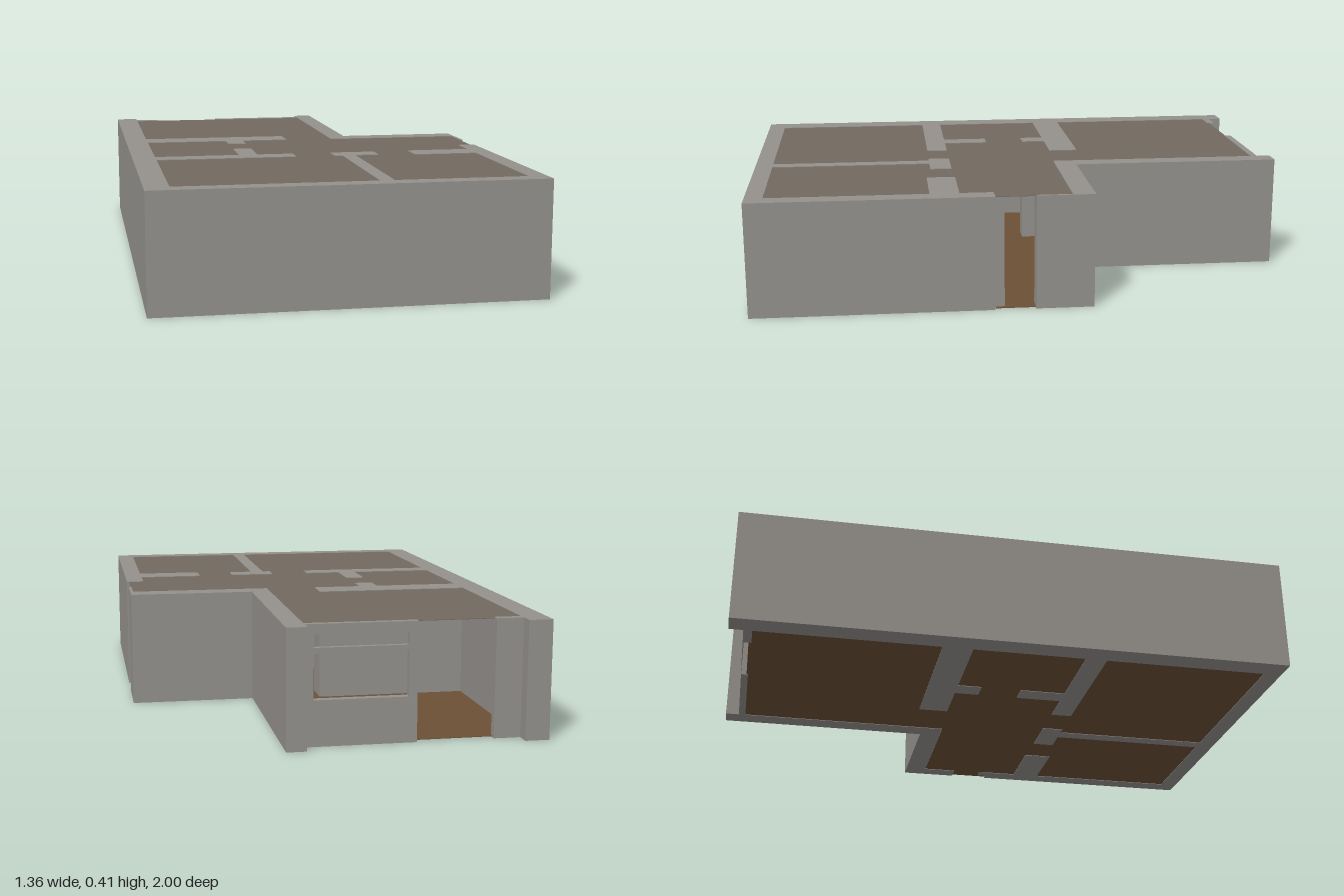
import * as THREE from 'three';

export function createModel() {
  const group = new THREE.Group();
  const H = 0.415;
  const material = (name, color) => {
    const m = new THREE.MeshStandardMaterial({ color });
    m.name = name;
    return m;
  };
  const plaster = material('plaster grey', 0x94918c);
  const ceilingTone = material('ceiling taupe', 0x72685f);
  const wood = material('floor brown', 0x6b5034);

  // Upright block given by its footprint and height range
  function block(name, x0, x1, z0, z1, y0 = 0, y1 = H) {
    const mesh = new THREE.Mesh(new THREE.BoxGeometry(x1 - x0, y1 - y0, z1 - z0), plaster);
    mesh.position.set((x0 + x1) / 2, (y0 + y1) / 2, (z0 + z1) / 2);
    mesh.name = name;
    group.add(mesh);
  }

  // Thin slab following the L-shaped plan
  function slab(name, mat, y, thickness) {
    const plan = [
      [-0.61, -0.93], [0.16, -0.93], [0.16, -0.138], [0.67, -0.138],
      [0.67, 0.132], [0.63, 0.132], [0.63, 0.95], [-0.61, 0.95],
    ];
    const shape = new THREE.Shape(plan.map(([x, z]) => new THREE.Vector2(x, -z)));
    const geo = new THREE.ExtrudeGeometry(shape, { depth: thickness, bevelEnabled: false });
    geo.rotateX(-Math.PI / 2);
    const mesh = new THREE.Mesh(geo, mat);
    mesh.position.y = y;
    mesh.name = name;
    group.add(mesh);
  }
  slab('floor', wood, 0.002, 0.002);
  slab('ceiling', ceilingTone, H - 0.004, 0.002);

  // Outer walls
  block('leftOuterWall', -0.68, -0.595, -1, 1);
  block('frontWall', -0.595, 0.615, 0.935, 1);
  block('rightFrontWall', 0.615, 0.68, 0.135, 1);
  block('rightBackWall', 0.155, 0.225, -1, -0.14);
  block('notchWall', 0.225, 0.68, -0.22, -0.14);

  // Side entrance: the ceiling runs over the return wall and the jamb
  block('entranceWall', 0.62, 0.669, -0.14, -0.01, 0, H - 0.004);
  block('entranceWallFace', 0.669, 0.68, -0.14, -0.01);
  block('entranceJamb', 0.62, 0.655, 0.1, 0.135, 0, H - 0.004);

  // Back facade: jamb beside the open doorway, then the window bay
  block('backDoorJamb', -0.595, -0.5, -0.95, -0.92);
  const zb = [-0.95, -0.925];
  block('windowParapet', -0.23, 0.155, ...zb, 0, 0.15);
  block('windowHead', -0.23, 0.155, ...zb, 0.38, H);
  block('windowDoorPost', -0.23, -0.2, ...zb, 0.15, 0.38);
  block('windowSidePost', 0.125, 0.155, ...zb, 0.15, 0.38);
  block('windowTransom', -0.2, 0.125, -0.947, -0.928, 0.315, 0.335);
  block('windowSill', -0.2, 0.125, -0.955, -0.925, 0.15, 0.16);

  // Interior partitions
  block('backPartition', -0.595, -0.03, -0.26, -0.15);
  block('backPartitionStub', -0.28, -0.21, -0.15, -0.06);
  block('middlePartitionStub', -0.28, -0.21, 0.09, 0.26);
  block('middlePartition', -0.595, -0.075, 0.26, 0.338);
  block('centrePartitionHead', 0.07, 0.24, 0.26, 0.34);
  block('centrePartition', 0.1, 0.15, 0.34, 0.935);
  block('rightPartition', 0.375, 0.615, 0.255, 0.36);

  return group;
}
